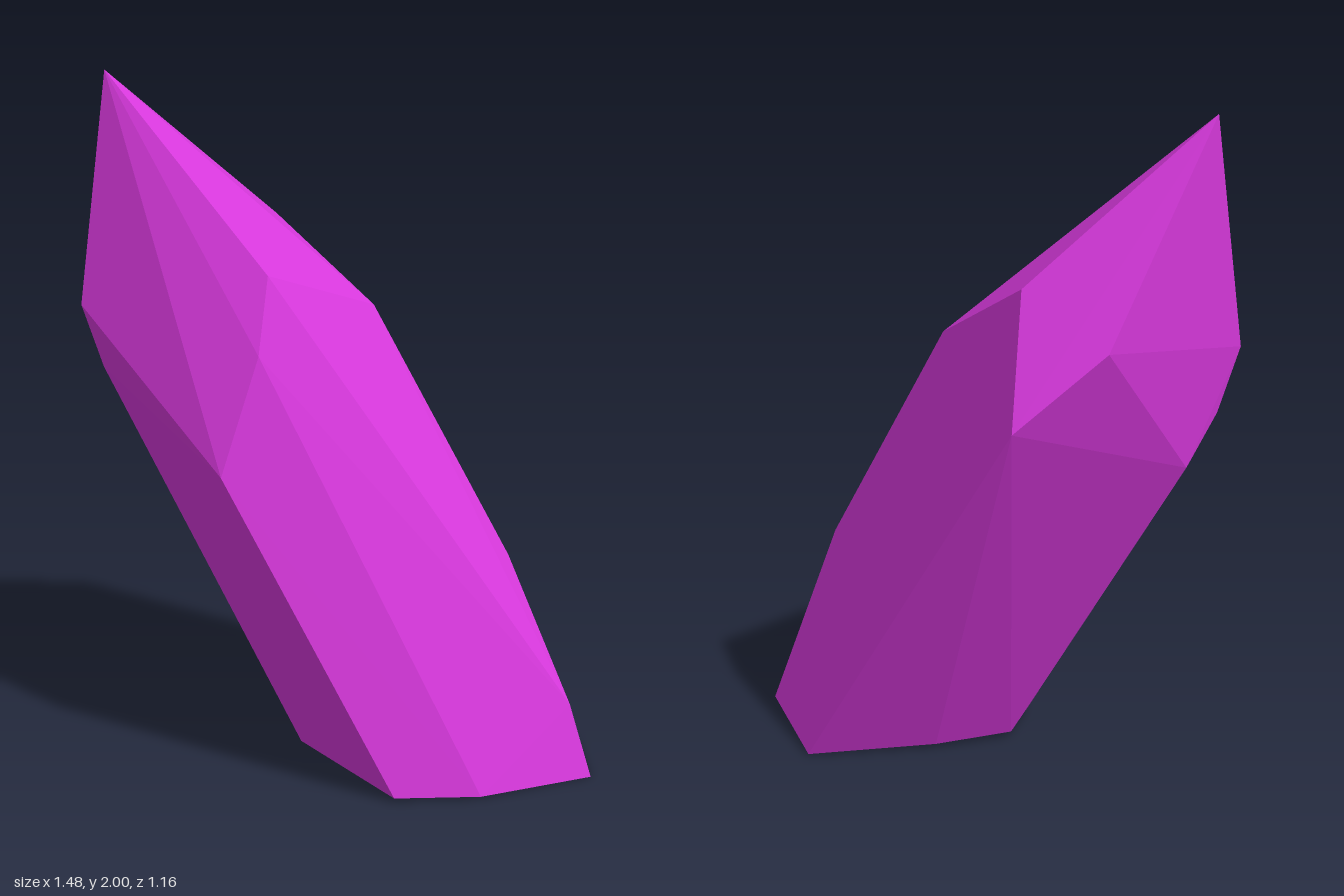
import * as THREE from 'three';
import { ConvexGeometry } from 'three/addons/geometries/ConvexGeometry.js';

export function createModel() {
  const group = new THREE.Group();
  group.name = 'leaningCrystal';

  const crystalMagenta = new THREE.MeshStandardMaterial({ color: 0xd638db });
  crystalMagenta.name = 'crystalMagenta';

  // Corners of the cut base as [x, z]; the cut is tilted slightly
  const base = [
    [0.53, -0.22], [0.65, 0.03], [0.74, 0.18], [0.74, 0.44], [0.40, 0.57],
    [0.15, 0.58], [-0.10, 0.19], [-0.07, 0.0], [0.15, -0.11],
  ].map(([x, z]) => [x, 0.0176 - 0.0238 * x, z]);

  // Bevel corners along the right edge of the shaft
  const edge = [[0.52, 0.60, 0.17], [0.68, 0.21, 0.39]];

  // Shoulder where the shaft turns into the point
  const shoulder = [
    [0.13, 1.32, -0.04], [-0.19, 1.46, 0.22], [-0.22, 1.25, 0.32],
    [-0.33, 0.92, 0.40], [-0.74, 1.32, -0.08], [-0.68, 1.125, -0.10],
    [-0.60, 0.975, -0.165], [-0.40, 1.39, -0.49], [-0.15, 1.18, -0.58],
    [-0.15, 1.54, -0.40],
  ];

  const tip = [-0.66, 2.0, -0.22];

  // The faceted solid is the convex hull of its corners
  const corners = [...base, ...edge, ...shoulder, tip].map((p) => new THREE.Vector3(...p));
  const crystal = new THREE.Mesh(new ConvexGeometry(corners), crystalMagenta);
  crystal.name = 'crystalShard';
  group.add(crystal);

  return group;
}
